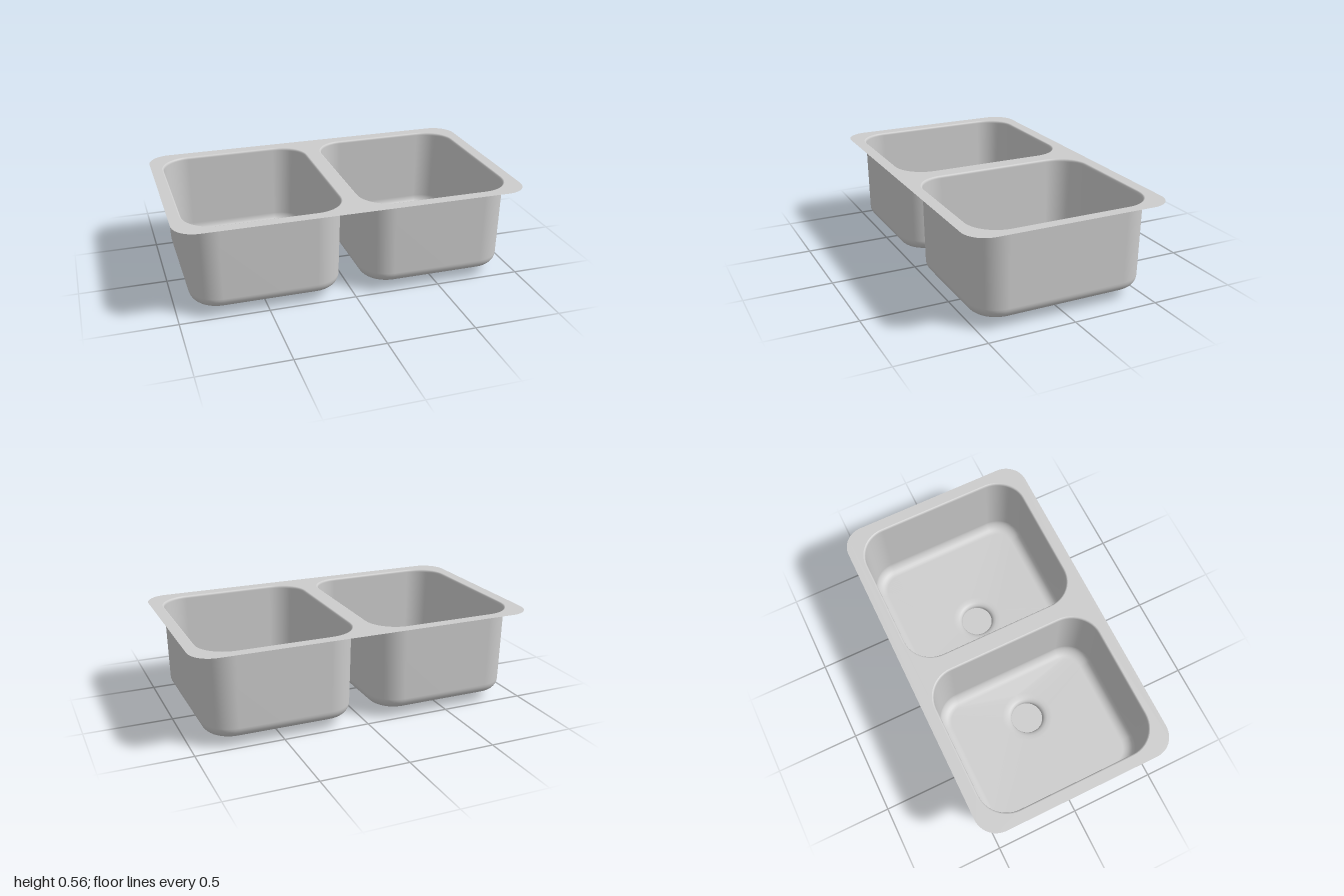
import * as THREE from 'three';
import { mergeVertices } from 'three/addons/utils/BufferGeometryUtils.js';

const RIM_Y = 0.56, BOWL_X = 0.491, DRAIN_X = 0.36, ARC = 12;

// Outline points of a rounded rectangle, corner by corner
function outline({ cx, hx, hz, r }) {
  const pts = [];
  for (let c = 0; c < 4; c++) {
    const sx = c === 0 || c === 3 ? 1 : -1, sz = c < 2 ? 1 : -1;
    for (let k = 0; k <= ARC; k++) {
      const a = (c + k / ARC) * Math.PI / 2;
      pts.push([cx + sx * (hx - r) + r * Math.cos(a), sz * (hz - r) + r * Math.sin(a)]);
    }
  }
  return pts;
}

// Smooth skin through a stack of rounded-rectangle sections
function loft(sections) {
  const pos = [], idx = [], n = 4 * (ARC + 1);
  sections.forEach((s, i) => {
    outline(s).forEach(([x, z]) => pos.push(x, s.y, z));
    if (i === 0) return;
    for (let j = 0; j < n; j++) {
      const k = (j + 1) % n, a = (i - 1) * n, b = i * n;
      idx.push(a + j, b + j, a + k, a + k, b + j, b + k);
    }
  });
  let g = new THREE.BufferGeometry();
  g.setAttribute('position', new THREE.Float32BufferAttribute(pos, 3));
  g.setIndex(idx);
  g = mergeVertices(g, 1e-5);
  g.computeVertexNormals();
  return g;
}

function bowlSections(side) {
  const cx = side * BOWL_X, dx = side * DRAIN_X, rows = [];
  // rolled lip
  for (let k = 0; k <= 4; k++) {
    const a = k / 4 * Math.PI / 2, d = 0.01 * Math.sin(a);
    rows.push({ cx, hx: 0.447 - d, hz: 0.522 - d, r: 0.18 - d, y: RIM_Y - 0.015 * (1 - Math.cos(a)) });
  }
  // tapered wall ending in the floor fillet
  const f = 0.065;
  for (let k = 0; k <= 8; k++) {
    const a = k / 8 * Math.PI / 2, d = f * (1 - Math.cos(a));
    rows.push({ cx, hx: 0.428 - d, hz: 0.506 - d, r: 0.165 - d, y: 0.117 - f * Math.sin(a) });
  }
  // sloping floor, drain recess and collar
  for (const [r, y] of [[0.15, 0.041], [0.125, 0.038], [0.11, 0.033], [0.1, 0.024], [0.096, 0.015], [0.095, 0]]) {
    rows.push({ cx: dx, hx: r, hz: r, r, y });
  }
  return rows;
}

function circle(x, y, r) {
  return new THREE.Path().absarc(x, y, r, 0, Math.PI * 2, true);
}

export function createModel() {
  const steel = new THREE.MeshStandardMaterial({ color: 0xcccccc, side: THREE.DoubleSide });
  steel.name = 'brushed steel';
  const model = new THREE.Group();
  model.name = 'doubleSink';
  const add = (parent, name, geometry, x = 0, y = 0) => {
    const mesh = new THREE.Mesh(geometry, steel);
    mesh.name = name;
    mesh.position.set(x, y, 0);
    parent.add(mesh);
  };
  const flat = (shape) => new THREE.ShapeGeometry(shape, 16).rotateX(-Math.PI / 2);
  const toPoints = (s) => outline(s).map(([x, z]) => new THREE.Vector2(x, z));

  // Sheet rim with two bowl openings
  const rim = new THREE.Shape(toPoints({ cx: 0, hx: 1, hz: 0.586, r: 0.13 }));
  for (const side of [-1, 1]) {
    rim.holes.push(new THREE.Path(toPoints({ cx: side * BOWL_X, hx: 0.447, hz: 0.522, r: 0.18 })));
  }
  add(model, 'rim', flat(rim), 0, RIM_Y);

  // Perforated strainer plate
  const strainer = new THREE.Shape().absarc(0, 0, 0.088, 0, Math.PI * 2, false);
  strainer.holes.push(circle(0, 0, 0.018));
  for (const [count, radius] of [[8, 0.042], [16, 0.068]]) {
    for (let i = 0; i < count; i++) {
      const a = i / count * Math.PI * 2;
      strainer.holes.push(circle(radius * Math.cos(a), radius * Math.sin(a), 0.008));
    }
  }
  const strainerGeometry = flat(strainer);
  const baseGeometry = new THREE.CircleGeometry(0.095, 48).rotateX(-Math.PI / 2);

  for (const side of [-1, 1]) {
    const bowl = new THREE.Group();
    bowl.name = side > 0 ? 'leftBowl' : 'rightBowl';
    add(bowl, 'bowlShell', loft(bowlSections(side)));
    add(bowl, 'drainBase', baseGeometry, side * DRAIN_X, 0);
    add(bowl, 'strainer', strainerGeometry, side * DRAIN_X, 0.008);
    model.add(bowl);
  }
  return model;
}
